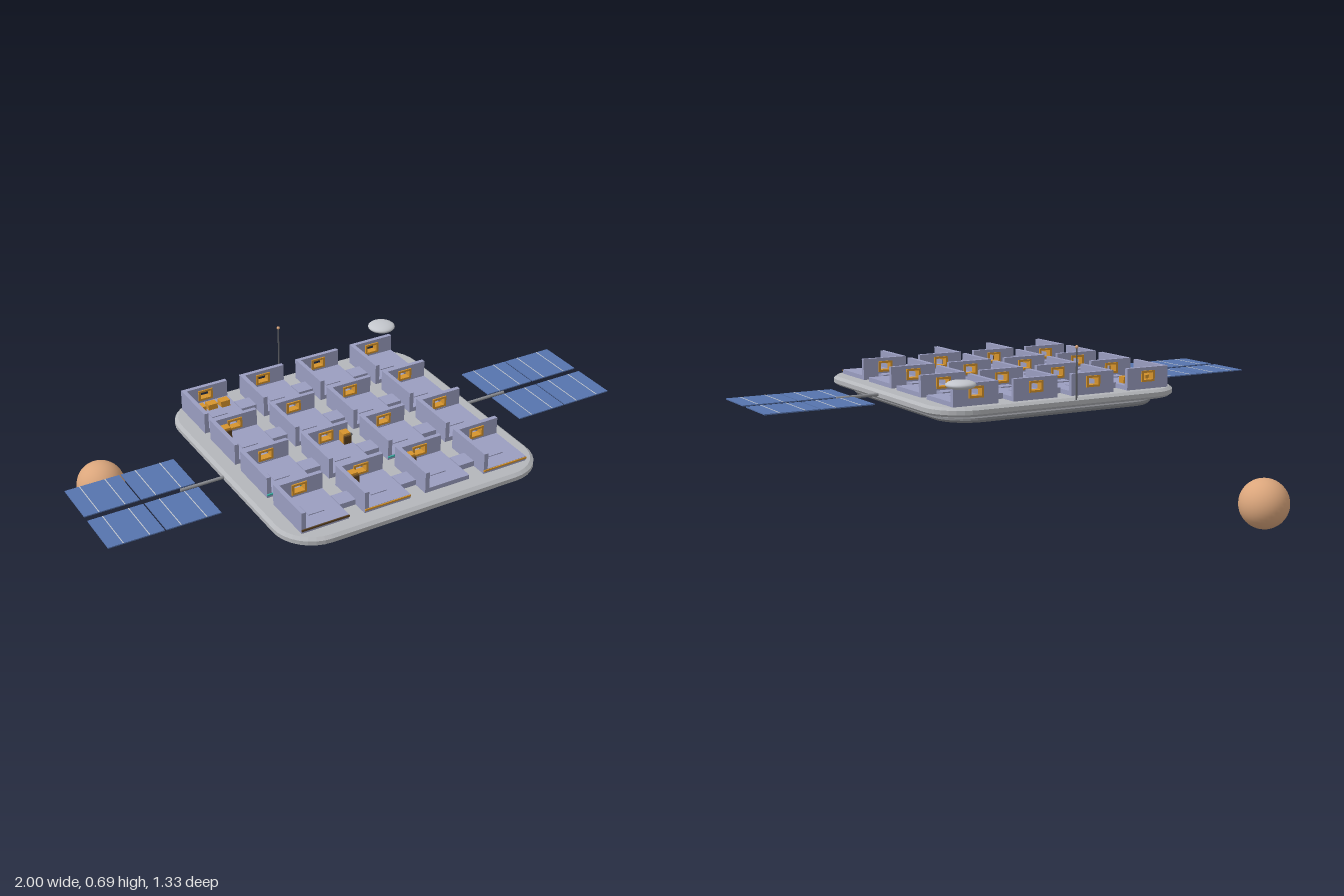
import * as THREE from 'three';

const mat = (name, color) => {
  const m = new THREE.MeshStandardMaterial({ color });
  m.name = name;
  return m;
};

export function createModel() {
  const deckGrey = mat('deck grey', 0xb4b6ba);
  const hullGrey = mat('hull grey', 0x8b8d92);
  const lavender = mat('room lavender', 0x9a9dc0);
  const amber = mat('amber', 0xd6942c);
  const brown = mat('dark brown', 0x5a4020);
  const blue = mat('solar blue', 0x5674ae);
  const silver = mat('silver', 0xc3c6cc);
  const tan = mat('planet tan', 0xdba67c);
  const teal = mat('teal', 0x3fb8b0);
  const mastGrey = mat('mast grey', 0x5c5e64);

  const root = new THREE.Group();
  root.name = 'orbitalStation';
  const station = new THREE.Group();
  station.name = 'station';
  station.position.z = 0.16;
  root.add(station);

  const add = (parent, name, geo, material, x = 0, y = 0, z = 0) => {
    const m = new THREE.Mesh(geo, material);
    m.name = name;
    m.position.set(x, y, z);
    parent.add(m);
    return m;
  };
  const box = (parent, name, material, w, h, d, x, y, z) =>
    add(parent, name, new THREE.BoxGeometry(w, h, d), material, x, y, z);

  // Rounded slab with chamfered rims, lying flat between two heights
  const slab = (name, material, half, r, y0, y1, bevel) => {
    const a = half - bevel, s = new THREE.Shape();
    const c = a - r;
    s.moveTo(-c, -a);
    s.lineTo(c, -a);
    s.absarc(c, -c, r, -Math.PI / 2, 0);
    s.absarc(c, c, r, 0, Math.PI / 2);
    s.absarc(-c, c, r, Math.PI / 2, Math.PI);
    s.absarc(-c, -c, r, Math.PI, Math.PI * 1.5);
    const rim = Math.min(bevel, 0.009);
    const g = new THREE.ExtrudeGeometry(s, {
      depth: y1 - y0 - 2 * rim, bevelEnabled: true, bevelThickness: rim,
      bevelSize: bevel, bevelSegments: 1, curveSegments: 4,
    });
    g.rotateX(-Math.PI / 2);
    add(station, name, g, material, 0, y0 + rim, 0);
  };
  slab('deck', deckGrey, 0.5, 0.13, 0.467, 0.5, 0.012);
  slab('hullNeck', mastGrey, 0.425, 0.12, 0.455, 0.47, 0.002);
  slab('lowerHull', hullGrey, 0.44, 0.12, 0.435, 0.461, 0.01);

  // Back wall with a window hole, and its amber frame
  const rect = (T, w, h, cy) => {
    const p = new T();
    p.moveTo(-w / 2, cy - h / 2);
    p.lineTo(w / 2, cy - h / 2);
    p.lineTo(w / 2, cy + h / 2);
    p.lineTo(-w / 2, cy + h / 2);
    p.closePath();
    return p;
  };
  const holed = (w, h, cy, hw, hh, hcy, depth) => {
    const s = rect(THREE.Shape, w, h, cy);
    s.holes.push(rect(THREE.Path, hw, hh, hcy));
    const g = new THREE.ExtrudeGeometry(s, { depth, bevelEnabled: false });
    return g.translate(0, 0, -depth / 2);
  };
  const R = 0.176, winY = 0.546;
  const wallGeo = holed(R, 0.078, 0.539, 0.05, 0.034, winY, 0.016);
  const frameGeo = holed(0.056, 0.04, winY, 0.04, 0.025, winY, 0.026);

  // Sixteen open rooms, each with a floor, a back wall and a side wall
  const steps = [-0.352, -0.117, 0.117, 0.352];
  steps.forEach((z, row) => steps.forEach((x, col) => {
    const room = new THREE.Group();
    room.name = `room${row + 1}${col + 1}`;
    room.position.set(x, 0, z);
    station.add(room);
    box(room, 'floor', lavender, R, 0.016, R, 0, 0.508, 0);
    box(room, 'floorHatch', lavender, 0.06, 0.004, 0.06, 0, 0.517, 0);
    add(room, 'backWall', wallGeo, lavender, 0, 0, -R / 2 - 0.008);
    add(room, 'windowFrame', frameGeo, amber, 0, 0, -R / 2 - 0.008);
    box(room, 'sideWall', lavender, 0.016, 0.078, R, -R / 2 + 0.008, 0.539, 0);
    box(room, 'wallLight', amber, 0.004, 0.012, 0.06, -R / 2 + 0.018, 0.541, 0);
    // Corridors to the next room in each direction
    if (col < 3) box(room, 'corridor', lavender, 0.06, 0.02, 0.06, 0.117, 0.51, 0);
    if (row < 3) box(room, 'corridor', lavender, 0.055, 0.02, 0.06, 0, 0.51, 0.117);
  }));

  // Coloured sills on some front edges
  [[0, 3, brown], [1, 3, amber], [3, 3, amber], [0, 2, teal], [2, 2, teal]].forEach(([c, r, m]) =>
    box(station, 'sill', m, R, 0.006, 0.004, steps[c], 0.512, steps[r] + R / 2 + 0.002));

  // Consoles and crates standing in the rooms
  [[-0.155, 0.28], [0.07, 0.28], [-0.05, 0.05], [-0.395, -0.185]].forEach(([x, z]) => {
    box(station, 'console', amber, 0.028, 0.038, 0.032, x, 0.535, z - 0.006);
    box(station, 'consoleFront', brown, 0.028, 0.03, 0.008, x, 0.531, z + 0.014);
  });
  [-0.4, -0.355, -0.305].forEach((x) =>
    box(station, 'crate', amber, 0.036, 0.024, 0.03, x, 0.528, -0.385));

  // Solar wings on both sides, four panels each
  [-1, 1].forEach((s) => {
    const wing = new THREE.Group();
    wing.name = s > 0 ? 'leftSolarWing' : 'rightSolarWing';
    station.add(wing);
    const boom = add(wing, 'boom', new THREE.CylinderGeometry(0.006, 0.006, 0.18, 10), hullGrey, s * 0.57, 0.485, 0);
    boom.rotation.z = Math.PI / 2;
    [0.6985, 0.9015].forEach((x) => [-0.1, 0.1].forEach((z) => {
      box(wing, 'solarPanel', blue, 0.197, 0.004, 0.173, s * x, 0.485, z);
      [-0.046, 0.046].forEach((d) =>
        box(wing, 'panelLine', silver, 0.003, 0.001, 0.173, s * x + d, 0.4875, z));
    }));
  });

  // Antenna mast, dish and deck beacon
  add(station, 'antennaMast', new THREE.CylinderGeometry(0.003, 0.003, 0.18, 8), mastGrey, 0, 0.59, -0.532);
  add(station, 'antennaTip', new THREE.SphereGeometry(0.006, 12, 8), tan, 0, 0.683, -0.532);
  const dish = add(station, 'dish', new THREE.SphereGeometry(0.052, 24, 14), silver, 0.44, 0.585, -0.512);
  dish.scale.y = 0.31;
  add(station, 'deckBeacon', new THREE.SphereGeometry(0.007, 12, 8), mastGrey, 0, 0.503, 0);

  // Small planet below
  add(root, 'planet', new THREE.SphereGeometry(0.093, 32, 20), tan, -0.676, 0.093, -0.573);
  return root;
}
